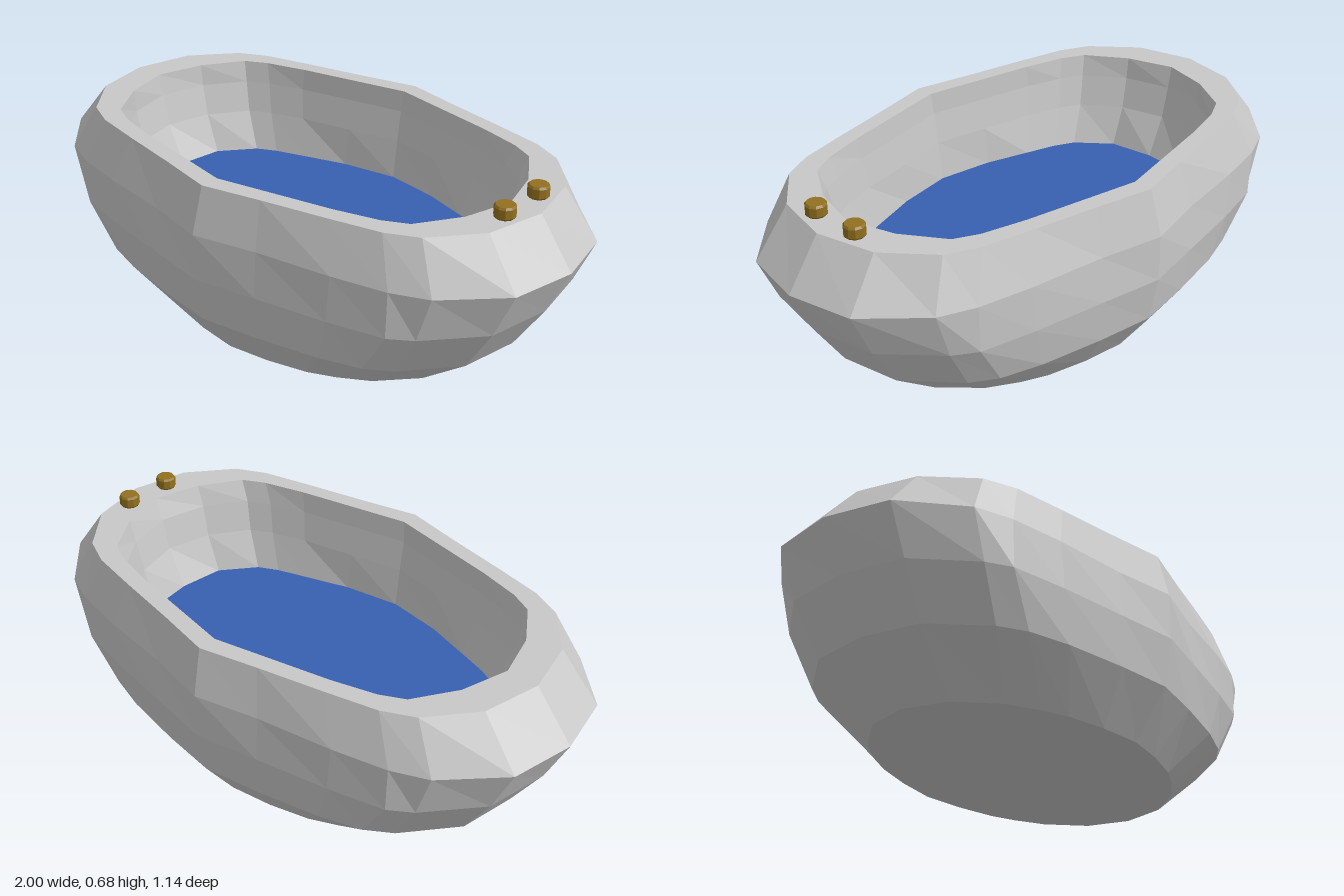
import * as THREE from 'three';

// Each section is a quarter outline of [x, z] points, from the end to the middle of the side.
const base = [[0.63, 0], [0.59, 0.15], [0.48, 0.27], [0.38, 0.33], [0.29, 0.37], [0.15, 0.405], [0, 0.425]];
const lower = [[0.82, 0], [0.785, 0.2], [0.645, 0.365], [0.56, 0.42], [0.42, 0.465], [0.2, 0.51], [0, 0.54]];
const middle = [[0.925, 0], [0.885, 0.22], [0.735, 0.39], [0.66, 0.44], [0.47, 0.485], [0.22, 0.53], [0, 0.57]];
const widest = [[1, 0], [0.955, 0.22], [0.785, 0.39], [0.665, 0.44], [0.48, 0.48], [0.22, 0.52], [0, 0.57]];
const rimOuter = [[0.875, 0], [0.83, 0.2], [0.705, 0.35], [0.6, 0.4], [0.42, 0.44], [0.2, 0.485], [0, 0.53]];
const rimInner = [[0.767, 0], [0.72, 0.165], [0.63, 0.305], [0.55, 0.345], [0.4, 0.385], [0.2, 0.425], [0, 0.465]];
const innerWall = [[0.745, 0], [0.705, 0.165], [0.61, 0.3], [0.53, 0.34], [0.4, 0.38], [0.2, 0.42], [0, 0.46]];
const waterLine = [[0.655, 0], [0.635, 0.16], [0.54, 0.275], [0.47, 0.31], [0.36, 0.345], [0.2, 0.395], [0, 0.427]];

// Mirror a quarter outline into a closed ring of 24 points at height y
function ring(quarter, y, scale = 1, shift = 0) {
  const n = quarter.length - 1;
  const points = [];
  for (let i = 0; i < 4 * n; i++) {
    const q = Math.floor(i / n), k = i % n;
    const [x, z] = quarter[q % 2 ? n - k : k];
    const sx = q === 1 || q === 2 ? -1 : 1;
    const sz = q >= 2 ? -1 : 1;
    points.push(new THREE.Vector3(sx * x * scale + shift, y, sz * z * scale));
  }
  return points;
}

// Join successive rings with faceted quads; non-indexed vertices keep the facets flat
function loft(rings) {
  const pos = [];
  const tri = (a, b, c) => {
    if (a.equals(b) || b.equals(c) || a.equals(c)) return;
    for (const p of [a, b, c]) pos.push(p.x, p.y, p.z);
  };
  for (let r = 0; r + 1 < rings.length; r++) {
    const lo = rings[r], hi = rings[r + 1], n = lo.length;
    for (let i = 0; i < n; i++) {
      const j = (i + 1) % n;
      tri(lo[i], hi[i], hi[j]);
      tri(lo[i], hi[j], lo[j]);
    }
  }
  const geo = new THREE.BufferGeometry();
  geo.setAttribute('position', new THREE.Float32BufferAttribute(pos, 3));
  geo.computeVertexNormals();
  return geo;
}

export function createModel() {
  const stone = new THREE.MeshStandardMaterial({ color: 0xc8c8c8 });
  const water = new THREE.MeshStandardMaterial({ color: 0x3860b0 });
  const brass = new THREE.MeshStandardMaterial({ color: 0x92701f });
  stone.name = 'stone grey';
  water.name = 'water blue';
  brass.name = 'brass';

  const model = new THREE.Group();
  model.name = 'bathtub';
  const add = (name, geo, mat, x = 0, y = 0, z = 0) => {
    const mesh = new THREE.Mesh(geo, mat);
    mesh.name = name;
    mesh.position.set(x, y, z);
    model.add(mesh);
  };

  // Outer shell, closed underneath
  add('outerShell', loft([
    ring(base, 0, 0), ring(base, 0), ring(lower, 0.16), ring(middle, 0.32),
    ring(widest, 0.478), ring(rimOuter, 0.637, 1, 0.008),
  ]), stone);

  // Flat rim
  add('rim', loft([ring(rimOuter, 0.637, 1, 0.008), ring(rimInner, 0.637, 1, 0.008)]), stone);

  // Inner basin down to the hidden floor
  add('basin', loft([
    ring(rimInner, 0.637, 1, 0.008), ring(innerWall, 0.56), ring(innerWall, 0.45, 0.965),
    ring(waterLine, 0.31), ring(waterLine, 0.16, 0.88), ring(waterLine, 0.1, 0.7), ring(waterLine, 0.1, 0),
  ]), stone);

  // Water surface
  add('water', loft([ring(waterLine, 0.312, 1.002), ring(waterLine, 0.312, 0)]), water);

  // Two tap knobs on the left end of the rim: waist, wider cap and bevelled top
  const profile = [[0, 0], [0.03, 0], [0.035, 0.007], [0.035, 0.036], [0.03, 0.043], [0, 0.043]]
    .map(([x, y]) => new THREE.Vector2(x, y));
  const knob = new THREE.LatheGeometry(profile, 10).toNonIndexed();
  knob.computeVertexNormals();
  for (const [name, z] of [['frontTapKnob', 0.088], ['backTapKnob', -0.088]]) {
    add(name, knob, brass, 0.813, 0.636, z);
  }
  return model;
}
